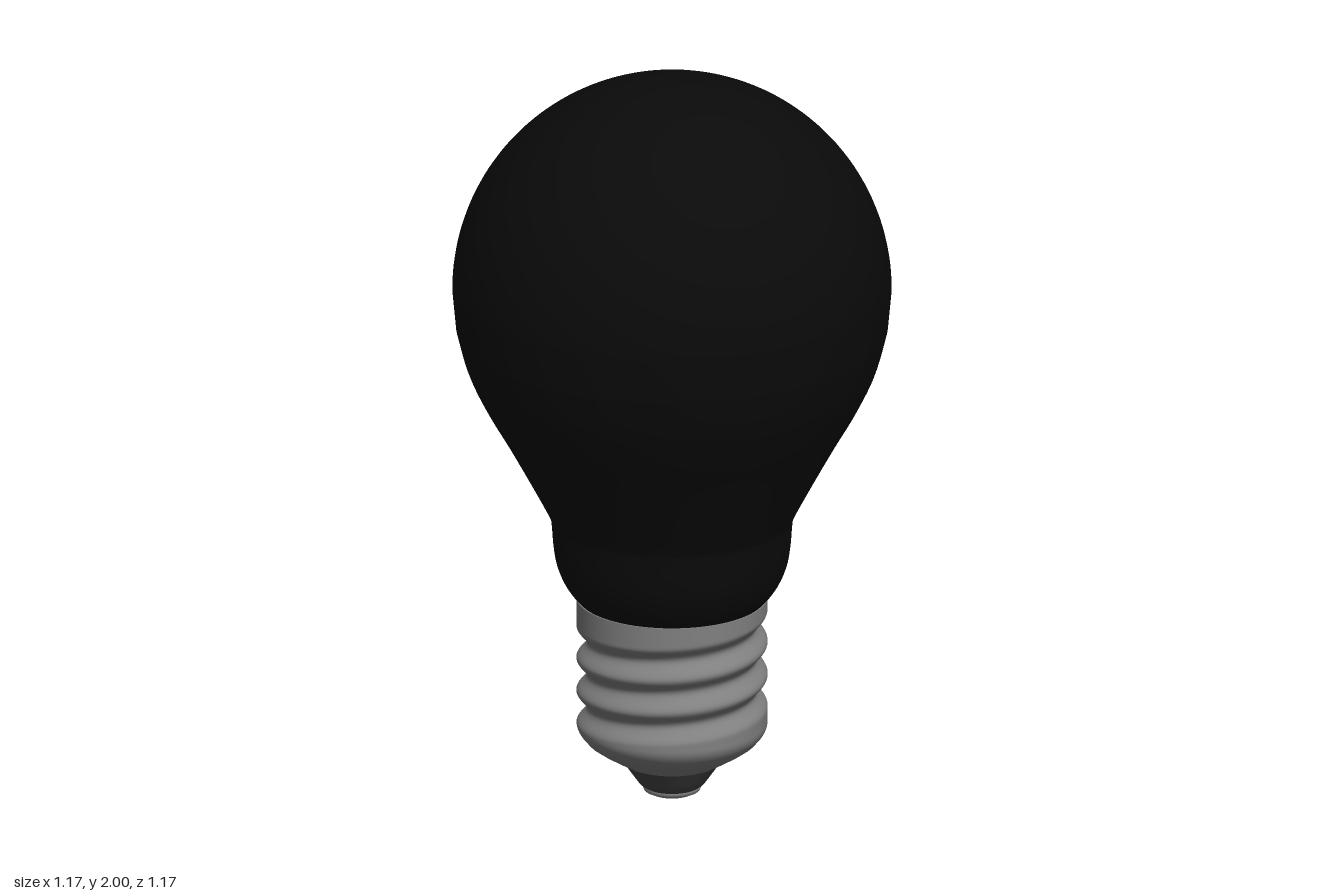
import * as THREE from 'three';

const SEGMENTS = 96;
const V = (r, y) => new THREE.Vector2(r, y);

const glassBlack = new THREE.MeshStandardMaterial({ color: 0x0a0a0a });
const metal = new THREE.MeshStandardMaterial({ color: 0x808080 });
const insulatorGrey = new THREE.MeshStandardMaterial({ color: 0x444444 });

function lathe(name, points, material) {
  const mesh = new THREE.Mesh(new THREE.LatheGeometry(points, SEGMENTS, -Math.PI), material);
  mesh.name = name;
  return mesh;
}

// Glass envelope: rounded neck, straight flare, then a spherical crown
function glassBulb() {
  const neck = new THREE.SplineCurve([
    V(0.25, 0.55), V(0.268, 0.57), V(0.29, 0.605), V(0.307, 0.65), V(0.315, 0.7), V(0.32, 0.76), V(0.328, 0.79),
    V(0.38, 0.89), V(0.44, 1.0), V(0.497, 1.1), V(0.543, 1.2), V(0.573, 1.31),
  ]).getPoints(60);
  const crown = [];
  for (let i = 0; i <= 40; i++) {
    const a = (i / 40) * Math.PI / 2;
    crown.push(V(0.583 * Math.cos(a), 1.417 + 0.583 * Math.sin(a)));
  }
  crown[40].x = 0;
  return lathe('glassBulb', [...neck, ...crown], glassBlack);
}

// Threaded shell: a plain cylinder cut by three turns of a rising groove
function screwShell() {
  const pitch = 0.092, depth = 0.028, middle = 0.352;
  const low = 0.165, high = 0.55, rows = 84;
  const profile = [];
  for (let j = 0; j <= rows; j++) {
    const y = low + (high - low) * j / rows;
    const shoulder = Math.max(0, 0.2 - y) / 0.035;
    profile.push(V(0.254 - 0.014 * shoulder * shoulder, y));
  }
  const mesh = lathe('screwShell', profile, metal);
  const pos = mesh.geometry.attributes.position;
  for (let i = 0; i < pos.count; i++) {
    const column = Math.floor(i / (rows + 1));
    const turn = column / SEGMENTS - 0.5;
    const y = pos.getY(i);
    let cut = 0;
    for (let k = -1; k <= 1; k++) {
      // The groove stops abruptly at both of its ends
      if ((k === -1 && column === 0) || (k === 1 && column === SEGMENTS)) continue;
      const d = Math.abs(y - middle - pitch * (turn + k)) / (pitch / 2);
      if (d < 1) cut += depth * (0.5 + 0.5 * Math.cos(Math.PI * d));
    }
    const r = Math.hypot(pos.getX(i), pos.getZ(i));
    pos.setX(i, pos.getX(i) * (r - cut) / r);
    pos.setZ(i, pos.getZ(i) * (r - cut) / r);
  }
  mesh.geometry.computeVertexNormals();
  return mesh;
}

export function createModel() {
  const model = new THREE.Group();
  model.name = 'lightBulb';
  model.add(glassBulb(), screwShell());

  // Flat collar closing the shell against the glass
  model.add(lathe('shellRim', [V(0.254, 0.55), V(0.2, 0.55)], metal));

  // Tapered lower end of the shell
  model.add(lathe('shellTaper', [
    V(0.13, 0.088), V(0.165, 0.108), V(0.2, 0.13), V(0.225, 0.148), V(0.24, 0.165),
  ], metal));

  // Insulator between shell and contact
  model.add(lathe('insulator', [
    V(0.075, 0.018), V(0.088, 0.028), V(0.105, 0.052), V(0.13, 0.088),
  ], insulatorGrey));

  // End contact with a small solder dimple
  model.add(lathe('endContact', [
    V(0, 0.004), V(0.012, 0.004), V(0.016, 0), V(0.06, 0), V(0.074, 0.007), V(0.078, 0.016), V(0.075, 0.02),
  ], metal));

  return model;
}
